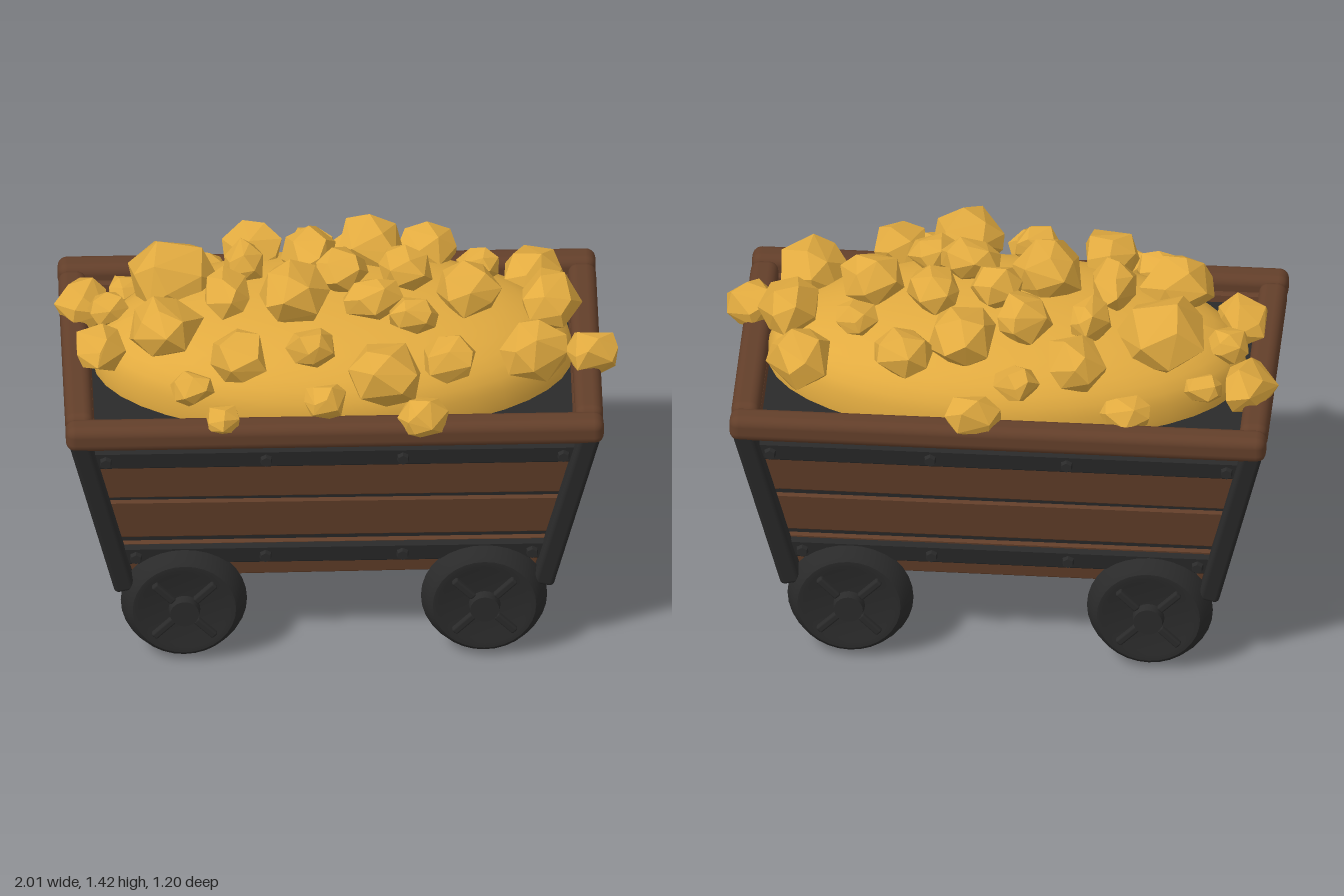
import * as THREE from 'three';
import { toCreasedNormals } from 'three/addons/utils/BufferGeometryUtils.js';
import { RoundedBoxGeometry } from 'three/addons/geometries/RoundedBoxGeometry.js';
import { ConvexGeometry } from 'three/addons/geometries/ConvexGeometry.js';

const material = (name, color) => Object.assign(new THREE.MeshStandardMaterial({ color }), { name });

// Half sizes of the flared body at height y
const halfX = (y) => 0.735 + 0.24 * (y - 0.3);
const halfZ = (y) => 0.385 + 0.157 * (y - 0.3);

// Chunks lying on the heap: x, z, half width, half depth
const backChunks = [
  [-0.91, -0.25, 0.10, 0.12], [-0.76, -0.30, 0.07, 0.06], [-0.49, -0.46, 0.09, 0.07],
  [-0.30, -0.36, 0.11, 0.12], [-0.10, -0.45, 0.08, 0.07], [0.06, -0.53, 0.10, 0.08],
  [-0.59, -0.18, 0.17, 0.15], [-0.83, -0.10, 0.08, 0.07], [-0.34, -0.18, 0.08, 0.09],
  [-0.10, -0.21, 0.10, 0.12], [0.11, -0.30, 0.12, 0.13], [0.32, -0.35, 0.11, 0.10],
  [0.69, -0.29, 0.12, 0.13], [0.50, -0.19, 0.08, 0.07], [0.75, -0.04, 0.11, 0.13],
  [0.23, -0.08, 0.10, 0.10], [0.00, -0.06, 0.09, 0.10],
];
const frontChunks = [
  [0.90, 0.13, 0.10, 0.09], [0.69, 0.24, 0.12, 0.13], [0.45, 0.02, 0.12, 0.11],
  [-0.17, 0.08, 0.13, 0.13], [-0.41, 0.03, 0.08, 0.12], [-0.87, 0.11, 0.10, 0.10],
  [-0.63, 0.15, 0.13, 0.13], [-0.54, 0.39, 0.08, 0.07], [-0.37, 0.33, 0.11, 0.11],
  [-0.44, 0.50, 0.07, 0.07], [-0.11, 0.33, 0.09, 0.07], [-0.07, 0.49, 0.08, 0.07],
  [0.15, 0.42, 0.13, 0.14], [0.28, 0.51, 0.09, 0.09], [0.38, 0.35, 0.10, 0.10],
  [0.11, 0.12, 0.11, 0.08], [0.25, 0.19, 0.09, 0.07],
];

export function createModel() {
  const wood = material('brown wood', 0x633f2a);
  const iron = material('dark iron', 0x2a2a2a);
  const gold = material('gold ore', 0xe2ab40);
  let seed = 7;
  const random = () => (seed = (seed * 16807) % 2147483647) / 2147483647;

  const model = new THREE.Group();
  model.name = 'oreCart';
  const cart = new THREE.Group();
  cart.name = 'cart';
  cart.position.set(-0.037, 0, -0.018);
  model.add(cart);

  function add(parent, name, geometry, mat, x = 0, y = 0, z = 0) {
    const mesh = new THREE.Mesh(geometry, mat);
    mesh.name = name;
    mesh.position.set(x, y, z);
    parent.add(mesh);
    return mesh;
  }
  const roundBox = (w, h, d, r) => new RoundedBoxGeometry(w, h, d, 3, r);

  // Trapezoid board, sheared so that it leans with the wall
  function board(y0, y1, depth, lift, half, out, wobble) {
    const w = (y) => half(y) - 0.015;
    const j = () => (random() - 0.5) * wobble;
    const shape = new THREE.Shape([
      new THREE.Vector2(-w(y0), y0 + j()), new THREE.Vector2(w(y0), y0 + j()),
      new THREE.Vector2(w(y1), y1 + j()), new THREE.Vector2(-w(y1), y1 + j()),
    ]);
    const g = new THREE.ExtrudeGeometry(shape, {
      depth: depth - 0.016, bevelThickness: 0.008, bevelSize: 0.008, bevelOffset: -0.008, bevelSegments: 1,
    });
    const p = g.attributes.position;
    for (let i = 0; i < p.count; i++) {
      p.setZ(i, p.getZ(i) - depth + 0.008 + lift + out(p.getY(i)));
    }
    g.computeVertexNormals();
    return g;
  }

  // Walls: four rows of planks, two iron bands and their bolts
  function wall(name, turn, half, out, innerBolts) {
    const group = new THREE.Group();
    group.name = name;
    group.rotation.y = turn;
    cart.add(group);
    for (const [y0, y1] of [[0.31, 0.472], [0.488, 0.662], [0.678, 0.855], [0.87, 1.0]]) {
      add(group, 'plank', board(y0, y1, 0.04, 0, half, out, 0.012), wood);
    }
    for (const y of [0.42, 0.88]) {
      add(group, 'ironBand', board(y - 0.04, y + 0.04, 0.045, 0.025, half, out, 0), iron);
      const edge = half(y) - 0.055;
      for (const x of [-edge, ...innerBolts, edge]) {
        const bolt = add(group, 'bolt', toCreasedNormals(new THREE.CylinderGeometry(0.019, 0.025, 0.025, 6), 0.5),
          iron, x, y, out(y) + 0.033);
        bolt.rotation.x = Math.PI / 2;
      }
    }
  }
  wall('frontWall', 0, halfX, halfZ, [-0.245, 0.245]);
  wall('backWall', Math.PI, halfX, halfZ, [-0.245, 0.245]);
  wall('leftWall', Math.PI / 2, halfZ, halfX, [0]);
  wall('rightWall', -Math.PI / 2, halfZ, halfX, [0]);

  // Dark flared core filling the body behind the planks
  const core = new THREE.BoxGeometry(2, 1, 2);
  const cp = core.attributes.position;
  for (let i = 0; i < cp.count; i++) {
    const y = cp.getY(i) > 0 ? 0.97 : 0.33;
    cp.setXYZ(i, cp.getX(i) * (halfX(y) - 0.015), y, cp.getZ(i) * (halfZ(y) - 0.015));
  }
  core.computeVertexNormals();
  add(cart, 'innerLining', core, iron);

  // Rim beams, leaning corner posts and floor beams
  for (const s of [-1, 1]) {
    add(cart, 'longRim', roundBox(1.925, 0.1, 0.1, 0.035), wood, 0, 1.01, s * 0.523);
    add(cart, 'endRim', roundBox(0.1, 0.1, 0.96, 0.035), wood, s * 0.912, 1.008, 0);
    add(cart, 'floorBeam', roundBox(1.56, 0.085, 0.115, 0.02), wood, 0, 0.293, s * 0.24);
    for (const t of [-1, 1]) {
      const top = new THREE.Vector3(s * 0.918, 1.01, t * 0.53);
      const foot = new THREE.Vector3(s * 0.748, 0.29, t * 0.418);
      const dir = top.clone().sub(foot);
      const post = add(cart, 'cornerPost', roundBox(0.075, dir.length(), 0.08, 0.018), iron);
      post.position.copy(top).add(foot).multiplyScalar(0.5);
      post.quaternion.setFromUnitVectors(new THREE.Vector3(0, 1, 0), dir.normalize());
    }
  }

  // Wheels on axles
  const wheelProfile = [[0, 0.4], [0.19, 0.4], [0.226, 0.418], [0.22, 0.435], [0.2, 0.475], [0.185, 0.488],
    [0.165, 0.488], [0.15, 0.483], [0, 0.485]].map(([r, h]) => new THREE.Vector2(r, h));
  const wheelGeometry = toCreasedNormals(new THREE.LatheGeometry(wheelProfile, 32), 0.6);
  const hubGeometry = toCreasedNormals(new THREE.CylinderGeometry(0.052, 0.06, 0.05, 20), 0.6);
  for (const x of [-0.537, 0.537]) {
    const axle = add(cart, 'axle', new THREE.CylinderGeometry(0.027, 0.027, 0.84, 14), iron, x, 0.235, 0);
    axle.rotation.x = Math.PI / 2;
    for (const turn of [0, Math.PI]) {
      const wheel = new THREE.Group();
      wheel.name = 'wheel';
      wheel.position.set(x, 0.228, 0);
      wheel.rotation.y = turn;
      cart.add(wheel);
      add(wheel, 'wheelDisc', wheelGeometry, iron).rotation.x = Math.PI / 2;
      add(wheel, 'hub', hubGeometry, iron, 0, 0, 0.493).rotation.x = Math.PI / 2;
      for (let i = 0; i < 4; i++) {
        const a = Math.PI / 4 + i * Math.PI / 2;
        const spoke = add(wheel, 'spoke', roundBox(0.1, 0.028, 0.03, 0.008), iron,
          Math.cos(a) * 0.105, Math.sin(a) * 0.105, 0.488);
        spoke.rotation.z = a;
      }
      add(wheel, 'axleBlock', roundBox(0.12, 0.085, 0.08, 0.015), iron, 0, 0.035, 0.337);
    }
  }

  // Smooth heap, fuller than an ellipsoid, with faceted chunks on it
  const heapGeometry = new THREE.SphereGeometry(1, 40, 24);
  const hp = heapGeometry.attributes.position;
  for (let i = 0; i < hp.count; i++) {
    const y = hp.getY(i);
    hp.setY(i, Math.sign(y) * Math.abs(y) ** 0.75);
  }
  heapGeometry.computeVertexNormals();
  const heap = add(model, 'oreHeap', heapGeometry, gold, -0.03, 0.99, -0.02);
  heap.scale.set(0.86, 0.28, 0.485);

  function chunkGeometry(rx, ry, rz) {
    const points = [], n = 17, spin = random() * 6;
    for (let i = 0; i < n; i++) {
      const v = 1 - (2 * i + 1) / n, a = i * 2.4 + spin + (random() - 0.5) * 0.7;
      const r = Math.sqrt(1 - v * v), k = 0.95 + random() * 0.2;
      points.push(new THREE.Vector3(Math.cos(a) * r * rx * k, v * ry * k, Math.sin(a) * r * rz * k));
    }
    return new ConvexGeometry(points);
  }
  for (const [x, z, rx, rz] of [...backChunks, ...frontChunks]) {
    const y = 0.94 + 0.39 * Math.sqrt(Math.max(0.1, 1 - x ** 2 - (z / 0.57) ** 2));
    add(model, 'oreChunk', chunkGeometry(rx, (rx + rz) * 0.42, rz), gold, x, y, z);
  }
  return model;
}
